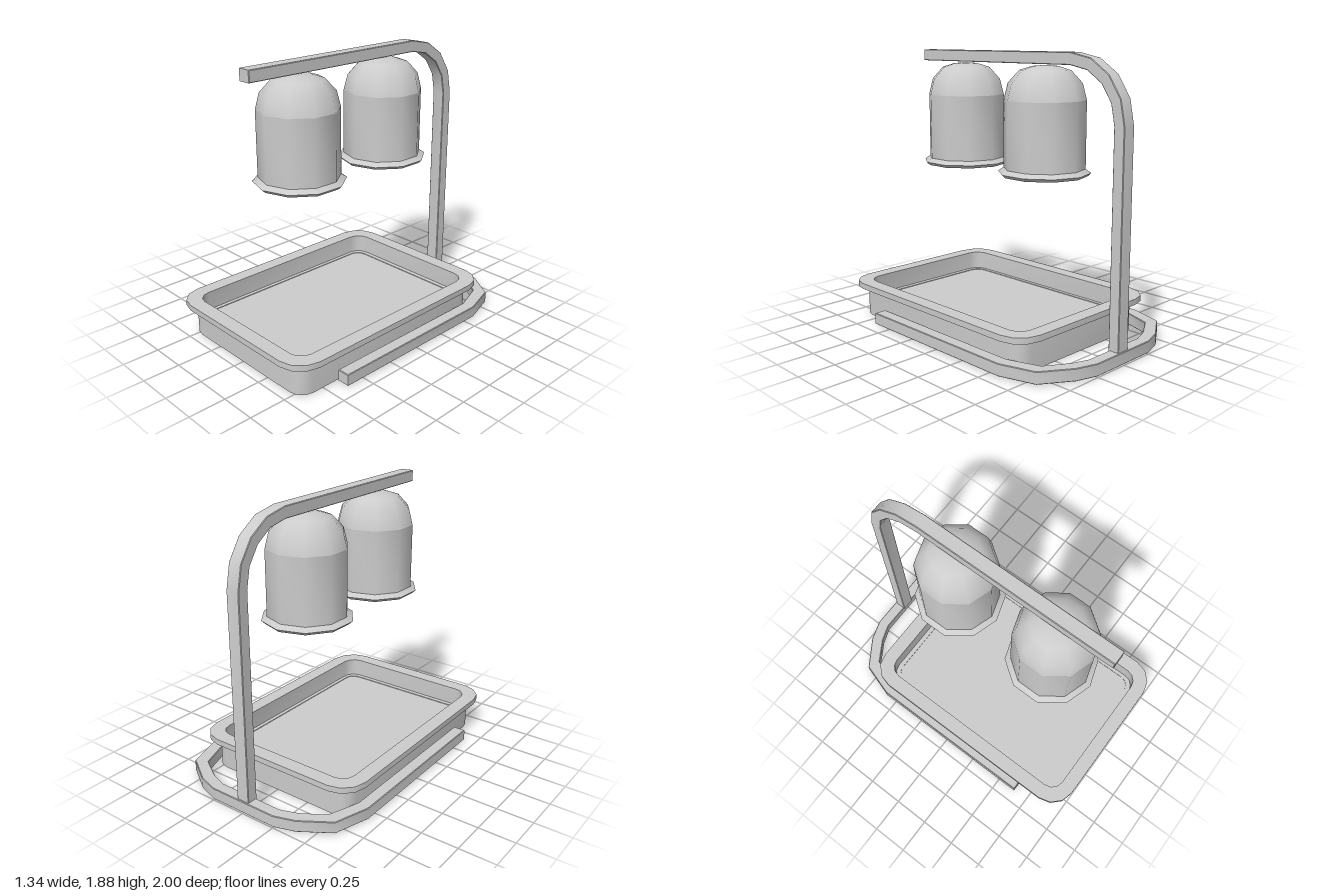
import * as THREE from 'three';
import { toCreasedNormals } from 'three/addons/utils/BufferGeometryUtils.js';

const material = new THREE.MeshStandardMaterial({ color: 0xcccccc });
const doubleSided = new THREE.MeshStandardMaterial({ color: 0xcccccc, side: THREE.DoubleSide });

function addMesh(parent, name, geometry, mat = material, crease = 0.72) {
  const mesh = new THREE.Mesh(toCreasedNormals(geometry, crease), mat);
  mesh.name = name;
  parent.add(mesh);
  return mesh;
}

const points = (list) => list.map(([x, y]) => new THREE.Vector2(x, y));

// Rounded rectangle in the xz plane, ordered from +z towards +x
function roundedLoop(halfX, halfZ, radius, y, steps = 3) {
  const loop = [];
  const corners = [[1, 1], [1, -1], [-1, -1], [-1, 1]];
  corners.forEach(([sx, sz], c) => {
    for (let i = 0; i <= steps; i++) {
      const a = (c + i / steps) * Math.PI / 2;
      loop.push([
        sx * (halfX - radius) + radius * Math.sin(a), y,
        sz * (halfZ - radius) + radius * Math.cos(a),
      ]);
    }
  });
  return loop;
}

// Skin over equal-length loops, closed by a fan at both ends
function loft(loops) {
  const n = loops[0].length;
  const last = (loops.length - 1) * n;
  const position = loops.flat(2);
  const index = [];
  const startCentre = loops.length * n;
  const endCentre = startCentre + 1;
  position.push(0, loops[0][0][1], 0, 0, loops[loops.length - 1][0][1], 0);
  for (let i = 0; i < n; i++) {
    const j = (i + 1) % n;
    for (let k = 0; k < last; k += n) {
      index.push(k + i, k + j, k + n + j, k + i, k + n + j, k + n + i);
    }
    index.push(startCentre, j, i, endCentre, last + i, last + j);
  }
  const geometry = new THREE.BufferGeometry();
  geometry.setAttribute('position', new THREE.Float32BufferAttribute(position, 3));
  geometry.setIndex(index);
  return geometry;
}

function createTray() {
  // half width, half length, corner radius, height: outside, over the rim,
  // down the inner wall and a small ledge to the floor
  const sections = [
    [0.565, 0.795, 0.10, 0], [0.565, 0.795, 0.10, 0.21], [0.635, 0.868, 0.17, 0.21],
    [0.635, 0.868, 0.17, 0.25], [0.535, 0.768, 0.09, 0.25],
    [0.535, 0.768, 0.09, 0.12], [0.508, 0.735, 0.07, 0.12], [0.508, 0.735, 0.07, 0.115],
  ];
  return loft(sections.map((section) => roundedLoop(...section)));
}

// Square bar with finely eased edges, extruded from its outline
function extrudeBar(outline, depth) {
  const ease = 0.004;
  return new THREE.ExtrudeGeometry(new THREE.Shape(points(outline)), {
    depth: depth - 2 * ease, bevelThickness: ease, bevelSize: ease,
    bevelOffset: -ease, bevelSegments: 1,
  }).translate(0, 0, ease);
}

function createBaseFrame() {
  // Right half of the U, as x and distance to the back
  const outer = [[0.67, -0.64], [0.67, 0.585], [0.595, 0.825], [0.395, 0.955], [0.255, 1.0]];
  const inner = [[0.585, -0.64], [0.585, 0.57], [0.51, 0.785], [0.355, 0.88], [0.24, 0.92]];
  const flip = ([x, y]) => [-x, y];
  const outline = [
    ...outer, ...outer.map(flip).reverse(),
    ...inner.map(flip), ...inner.slice().reverse(),
  ];
  return extrudeBar(outline, 0.08).rotateX(-Math.PI / 2).translate(0, 0.007, 0);
}

function createArm() {
  // Side outline: quarter bend between the upright and the overhead beam
  const arc = (r) => Array.from({ length: 5 }, (_, i) => {
    const a = i * Math.PI / 8;
    return [0.57 + r * Math.sin(a), 1.46 + r * Math.cos(a)];
  });
  const outline = [
    [-0.82, 1.88], ...arc(0.42), [0.99, 0.08],
    [0.913, 0.08], ...arc(0.343).reverse(), [-0.82, 1.803],
  ];
  return extrudeBar(outline, 0.094).rotateY(Math.PI / 2).translate(-0.047, 0, 0);
}

function createLamp() {
  const lamp = new THREE.Group();
  // Hollow ten-sided shade with a flared lip, under a smooth dome
  const shade = [
    [0.235, 1.5], [0.235, 1.135], [0.28, 1.097], [0.302, 1.118], [0.265, 1.143], [0.265, 1.58],
  ];
  const dome = [[0.265, 1.58], [0.238, 1.685], [0.165, 1.765], [0.085, 1.79], [0, 1.797]];
  const bulb = [[0, 1.09], [0.165, 1.092], [0.205, 1.115], [0.195, 1.2], [0.08, 1.45], [0, 1.5]];
  addMesh(lamp, 'lampShade', new THREE.LatheGeometry(points(shade), 10), doubleSided);
  addMesh(lamp, 'dome', new THREE.LatheGeometry(points(dome), 10), material, 1.3);
  addMesh(lamp, 'bulb', new THREE.LatheGeometry(points(bulb), 10));
  return lamp;
}

export function createModel() {
  const model = new THREE.Group();
  model.name = 'heatLampStation';

  addMesh(model, 'tray', createTray()).position.z = 0.132;
  addMesh(model, 'baseFrame', createBaseFrame());
  addMesh(model, 'arm', createArm());

  [['frontLamp', 0.42], ['backLamp', -0.325]].forEach(([name, z]) => {
    const lamp = createLamp();
    lamp.name = name;
    lamp.position.z = z;
    model.add(lamp);
  });
  return model;
}
